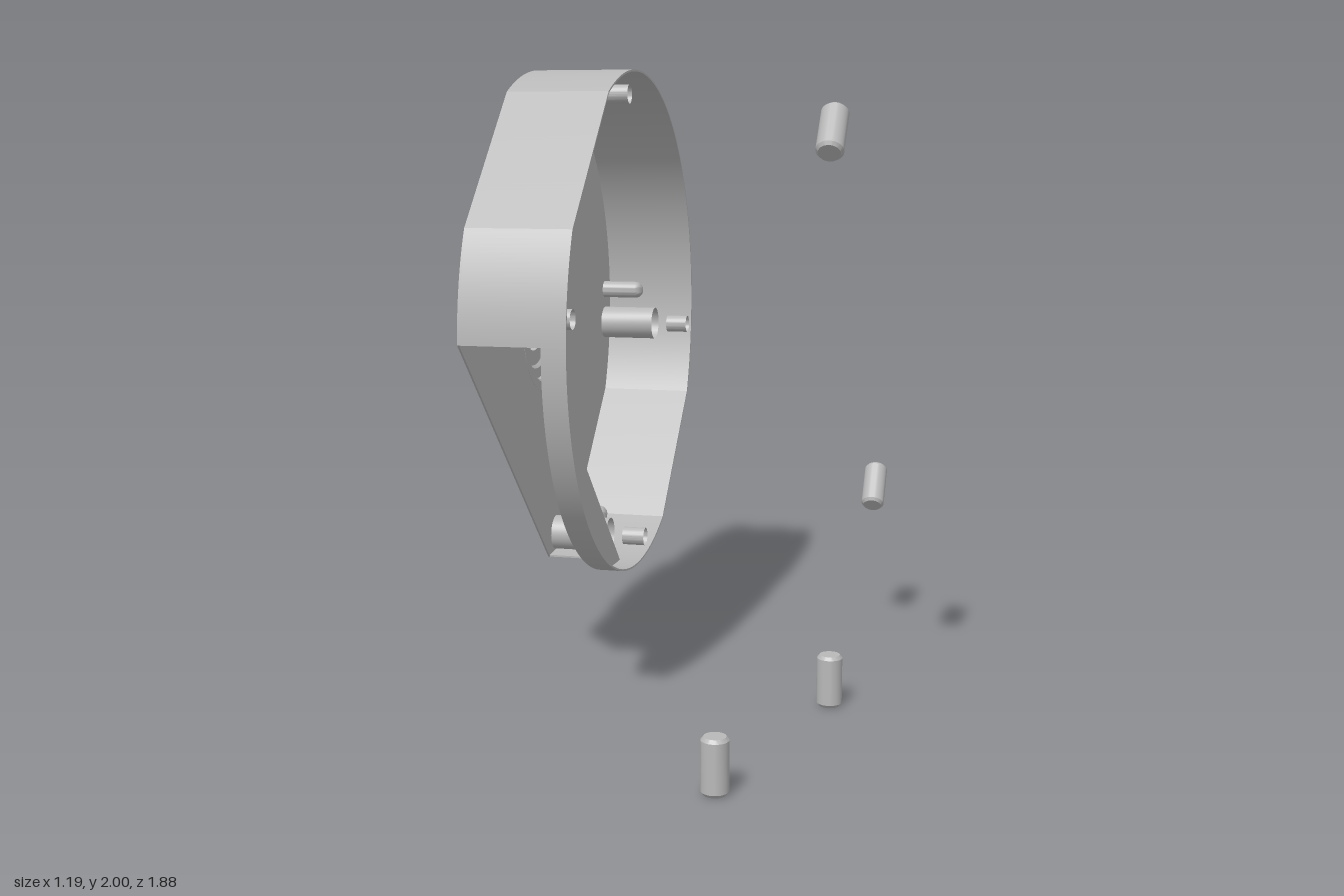
import * as THREE from 'three';
import { toCreasedNormals } from 'three/addons/utils/BufferGeometryUtils.js';

const R = 0.82;          // housing radius
const FLAT = 20;         // half angle of each flat on the rim, degrees
const SHEET = 0.006;     // wall and plate thickness
const rad = THREE.MathUtils.degToRad;

export function createModel() {
  const steel = new THREE.MeshStandardMaterial({ color: 0xb8b8b8, side: THREE.DoubleSide });
  steel.name = 'steel grey';

  const model = new THREE.Group();
  model.name = 'gearHousing';
  const housing = new THREE.Group();
  housing.name = 'housing';
  housing.position.set(0, 1.18, -0.12);
  model.add(housing);

  function add(parent, name, geometry, crease = 0.2) {
    const mesh = new THREE.Mesh(toCreasedNormals(geometry, crease), steel);
    mesh.name = name;
    parent.add(mesh);
    return mesh;
  }

  // rim radius by angle: a circle with two opposite flats at 45 and 225 degrees
  function rimRadius(deg) {
    const chord = R * Math.cos(rad(FLAT));
    const c = Math.abs(Math.cos(rad(deg - 45)));
    return Math.min(R, chord / Math.max(c, 0.001));
  }

  // outline points in the (z, y) plane
  function rim(from, to, inset = 0) {
    const points = [];
    for (let a = from; a <= to; a++) {
      const r = rimRadius(a) - inset;
      points.push(new THREE.Vector2(r * Math.cos(rad(a)), r * Math.sin(rad(a))));
    }
    return points;
  }

  // extrude a (z, y) shape between two x positions
  function slab(shape, x0, x1) {
    const g = new THREE.ExtrudeGeometry(shape, { depth: x1 - x0, bevelEnabled: false, curveSegments: 32 });
    return g.rotateY(-Math.PI / 2).translate(x1, 0, 0);
  }

  function wall(from, to, x0, x1) {
    const shape = new THREE.Shape([...rim(from, to), ...rim(from, to, SHEET).reverse()]);
    return slab(shape, x0, x1);
  }

  // turn an (r, x) profile around the x axis
  function turned(profile, segments = 32) {
    const points = profile.map(([r, x]) => new THREE.Vector2(r, x));
    return new THREE.LatheGeometry(points, segments).rotateZ(-Math.PI / 2);
  }

  // hole positions (z, y) relative to the hub
  const screwHoles = [[0.095, 0.74], [0.75, 0.09], [-0.745, -0.09], [-0.09, -0.75]];
  const dowelHoles = [[-0.035, 0.74], [0.71, 0.215], [-0.74, 0.035], [-0.215, -0.71]];

  // main plate, cut off along a chord, with its holes
  const plate = new THREE.Shape(rim(1, 269));
  const drill = (z, y, r) => plate.holes.push(new THREE.Path().absarc(z, y, r, 0, Math.PI * 2, true));
  screwHoles.forEach(([z, y]) => drill(z, y, 0.058));
  dowelHoles.forEach(([z, y]) => drill(z, y, 0.03));
  drill(0, 0, 0.21);
  add(housing, 'mainPlate', slab(plate, -0.5, -0.5 + SHEET));
  add(housing, 'rimWall', wall(1, 269, -0.5, -0.175));

  // raised segment closing the cut-off side
  add(housing, 'segmentPlate', slab(new THREE.Shape(rim(-91, 1)), -0.25, -0.25 + SHEET));
  add(housing, 'segmentRim', wall(-91, 1, -0.25, -0.175));

  // stepped bearing hub
  add(housing, 'bearingHub', turned([
    [0.105, -0.555], [0.155, -0.555], [0.165, -0.575], [0.2, -0.575], [0.2, -0.6],
    [0.275, -0.6], [0.28, -0.595], [0.28, -0.52], [0.275, -0.515], [0.24, -0.515],
    [0.24, -0.493], [0.21, -0.493], [0.2, -0.503], [0.2, -0.525], [0.165, -0.525],
    [0.155, -0.535], [0.105, -0.535], [0.105, -0.555],
  ], 64));

  // open screw sleeves with a narrower tube beyond
  for (const [z, y] of screwHoles) {
    add(housing, 'screwSleeve', turned([[0.058, -0.5], [0.058, -0.3]])).position.set(0, y, z);
    add(housing, 'screwTube', turned([[0.03, -0.25], [0.03, -0.175]])).position.set(0, y, z);
  }

  // blind dowel sockets with rounded ends
  for (const [z, y] of dowelHoles) {
    add(housing, 'dowelSocket', turned([
      [0.03, -0.5], [0.03, -0.37], [0.026, -0.358], [0.016, -0.349], [0, -0.345],
    ]), 0.8).position.set(0, y, z);
  }

  // loose dowel pins: position and tilt about x
  const pinProfile = [[0, -0.083], [0.032, -0.083], [0.04, -0.073], [0.04, 0.073], [0.032, 0.083], [0, 0.083]]
    .map(([r, y]) => new THREE.Vector2(r, y));
  const pins = [
    [0.3, 0.086, 0.905, 0], [0.51, 0.086, 0.13, 0],
    [0.55, 0.53, -0.74, -45], [0.55, 1.8, 0.535, -45],
  ];
  for (const [x, y, z, tilt] of pins) {
    const pin = add(model, 'dowelPin', new THREE.LatheGeometry(pinProfile, 32), 0.4);
    pin.position.set(x, y, z);
    pin.rotation.x = rad(tilt);
  }
  return model;
}
